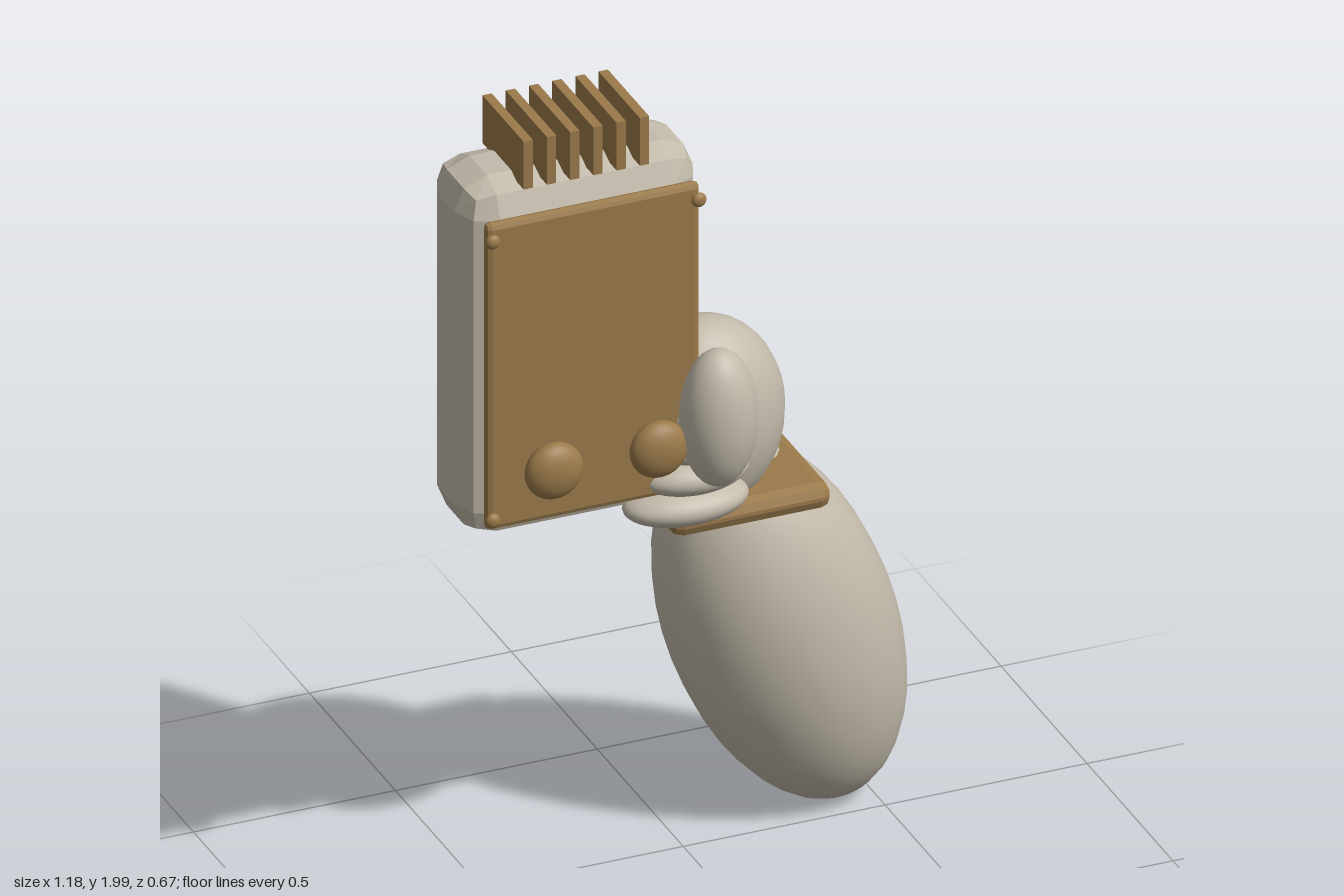
import * as THREE from 'three';
import { RoundedBoxGeometry } from 'three/addons/geometries/RoundedBoxGeometry.js';

export function createModel() {
  const model = new THREE.Group();
  model.name = 'handHeldDevice';

  const paleGrey = new THREE.MeshStandardMaterial({ color: 0xc2baaa });
  paleGrey.name = 'paleGrey';
  const brass = new THREE.MeshStandardMaterial({ color: 0x9a7a4a });
  brass.name = 'brass';

  function add(name, geometry, material, x, y, z, parent = model) {
    const mesh = new THREE.Mesh(geometry, material);
    mesh.name = name;
    mesh.position.set(x, y, z);
    parent.add(mesh);
    return mesh;
  }

  // Ellipsoid from its three radii
  function ellipsoid(name, material, x, y, z, rx, ry, rz, parent) {
    const geometry = new THREE.SphereGeometry(1, 28, 20).scale(rx, ry, rz);
    return add(name, geometry, material, x, y, z, parent);
  }

  // Box with two-facet bevels; face normals keep the facets crisp
  function bevelBox(name, material, w, h, d, r, x, y, z) {
    const geometry = new RoundedBoxGeometry(w, h, d, 1, r);
    geometry.computeVertexNormals();
    return add(name, geometry, material, x, y, z);
  }

  // Device casing and its front plate
  bevelBox('casing', paleGrey, 0.59, 0.92, 0.26, 0.08, -0.295, 1.43, 0.005);
  bevelBox('frontPlate', brass, 0.53, 0.795, 0.03, 0.014, -0.295, 1.428, 0.158);

  // Corner rivets
  for (const x of [-0.55, -0.04])
    for (const y of [1.065, 1.79])
      ellipsoid('rivet', brass, x, y, 0.185, 0.018, 0.018, 0.012);

  // Dials
  for (const x of [-0.425, -0.165])
    ellipsoid('dial', brass, x, 1.2, 0.246, 0.071, 0.071, 0.039);

  // Row of fins on top
  const fins = new THREE.Group();
  fins.name = 'topFins';
  model.add(fins);
  for (let i = 0; i < 6; i++)
    add('fin', new THREE.BoxGeometry(0.023, 0.124, 0.24), brass, -0.438 + i * 0.0575, 1.938, 0.008, fins);

  // Hand: palm, four stacked fingers and an upright thumb
  const hand = new THREE.Group();
  hand.name = 'hand';
  model.add(hand);
  ellipsoid('palm', paleGrey, 0.052, 1.113, -0.02, 0.2, 0.247, 0.15, hand);
  for (let i = 0; i < 4; i++) {
    const halfWidth = 0.153 - i * 0.017;
    ellipsoid('finger', paleGrey, 0.101 - halfWidth, 0.988 + i * 0.075, 0.135, halfWidth, 0.05, 0.088 - i * 0.003, hand);
  }
  ellipsoid('thumb', paleGrey, -0.02, 1.255, 0.252, 0.092, 0.175, 0.085, hand);

  // Square cuff around the wrist
  bevelBox('cuff', brass, 0.395, 0.065, 0.34, 0.028, 0.123, 0.908, -0.045);

  // Forearm slanting down and outwards
  const forearm = ellipsoid('forearm', paleGrey, 0.283, 0.492, -0.107, 0.267, 0.507, 0.227);
  forearm.rotation.z = 0.34;

  return model;
}
